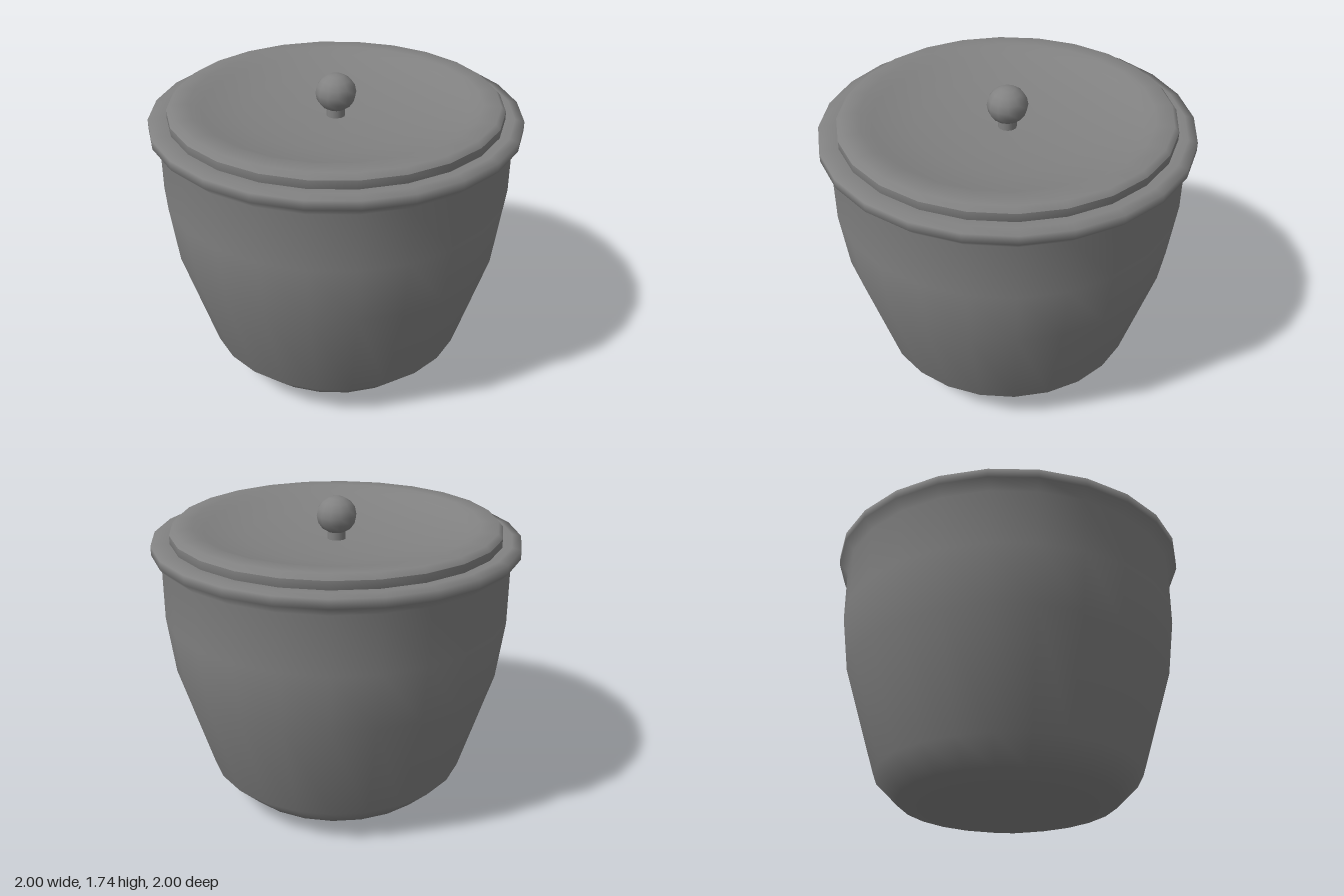
import * as THREE from 'three';

const material = new THREE.MeshStandardMaterial({ color: 0x828282 });

// Smooth turned part from [radius, height] pairs, bottom to top; a doubled point makes a sharp edge
function turned(name, profile, sides = 24) {
  const points = profile.map(([r, y]) => new THREE.Vector2(r, y));
  const mesh = new THREE.Mesh(new THREE.LatheGeometry(points, sides), material);
  mesh.name = name;
  return mesh;
}

export function createModel() {
  const group = new THREE.Group();
  group.name = 'lidded pot';

  // Outer wall, flared rim, then back down the inside
  group.add(turned('potBody', [
    [0, 0], [0.34, 0.003], [0.6, 0.075], [0.73, 0.205], [0.91, 0.8],
    [0.95, 1.12], [0.95, 1.43], [1, 1.48], [1, 1.53], [0.95, 1.54],
    [0.9, 1.535], [0.9, 1.535], [0.89, 1.43], [0.89, 1.12], [0.85, 0.8],
    [0.67, 0.23], [0.5, 0.1], [0, 0.07],
  ]));

  // Lid with a rounded raised border around a dished top
  group.add(turned('lid', [
    [0, 1.47], [0.86, 1.47], [0.9, 1.52], [0.9, 1.58], [0.9, 1.58],
    [0.875, 1.608], [0.78, 1.608], [0.72, 1.578],
    [0.5, 1.535], [0.25, 1.512], [0, 1.505],
  ]));

  // Slightly flattened knob on a short hidden stem
  const knob = new THREE.Mesh(new THREE.SphereGeometry(0.11, 12, 8), material);
  knob.name = 'knob';
  knob.scale.y = 0.93;
  knob.position.y = 1.638;
  group.add(knob);
  group.add(turned('knobStem', [[0.05, 1.49], [0.05, 1.58]], 12));

  return group;
}
